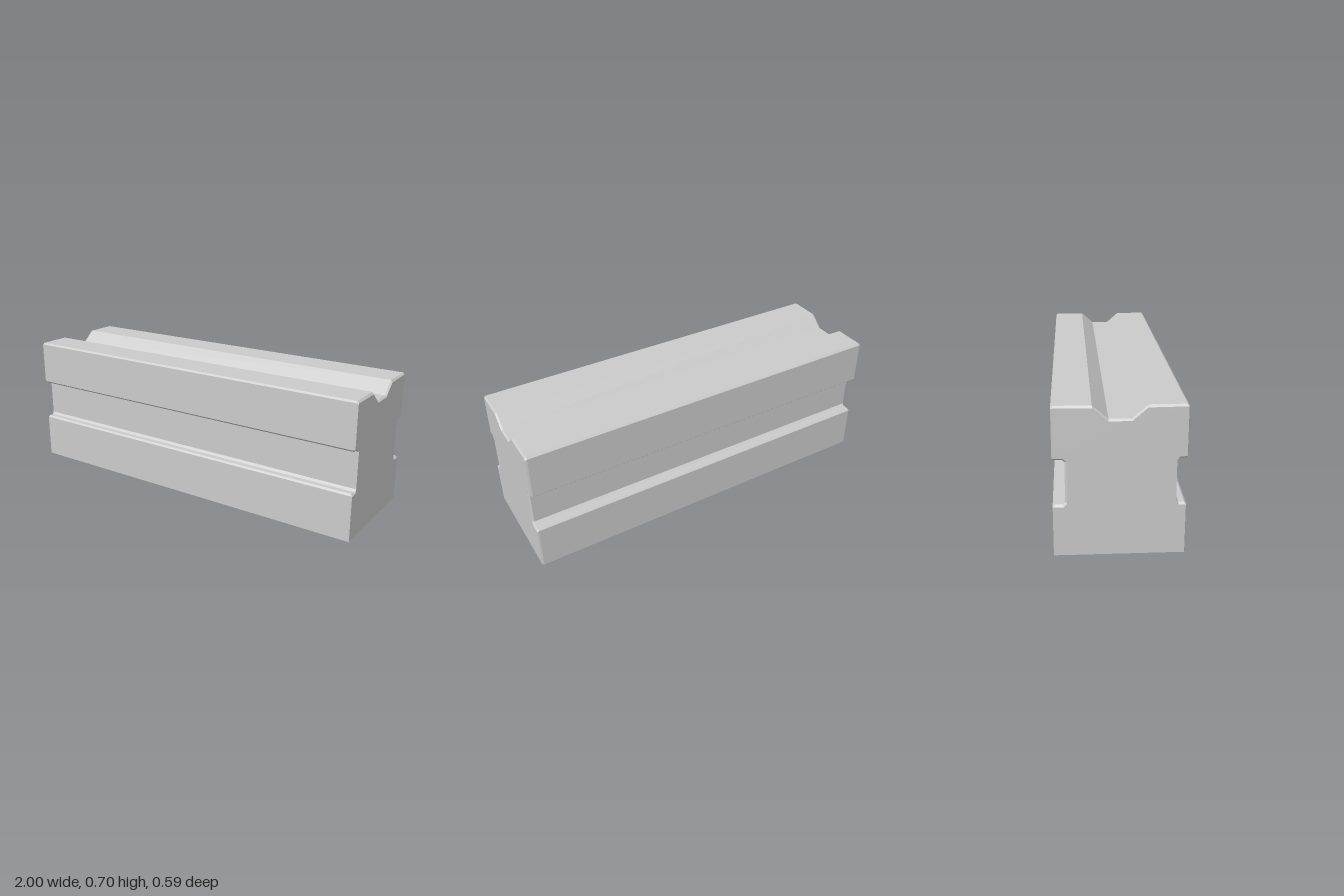
import * as THREE from 'three';

// Outline from the front foot over the top to the back foot:
// [z, y, z shift, y shift], the shifts giving the smaller outline of the end faces
const outline = [
  [0.294, 0, -0.003, 0],
  [0.294, 0.237, -0.003, -0.003],
  [0.285, 0.246, 0, -0.01],
  [0.258, 0.246, 0, -0.01],
  [0.247, 0.257, 0, 0],
  [0.247, 0.446, 0, 0],
  [0.258, 0.456, 0, 0.009],
  [0.285, 0.456, 0, 0.009],
  [0.294, 0.465, -0.003, 0.003],
  [0.294, 0.691, -0.003, -0.004],
  [0.285, 0.7, 0, -0.009],
  [0.12, 0.7, -0.002, -0.011],
  [0.05, 0.639, 0, -0.009],
  [-0.05, 0.639, 0, -0.009],
  [-0.12, 0.7, 0.002, -0.011],
  [-0.285, 0.7, 0, -0.009],
  [-0.294, 0.691, 0.003, -0.004],
  [-0.294, 0.465, 0.003, 0.003],
  [-0.285, 0.456, 0, 0.009],
  [-0.25, 0.456, 0.005, 0.009],
  [-0.239, 0.446, 0.009, 0.004],
  [-0.239, 0.257, 0.009, -0.004],
  [-0.25, 0.246, 0.005, -0.01],
  [-0.285, 0.246, 0, -0.01],
  [-0.294, 0.237, 0.003, -0.003],
  [-0.294, 0, 0.003, 0],
];

const section = (inset) => outline.map(([z, y, dz, dy]) => [z + dz * inset, y + dy * inset]);

// Long surfaces and bevels, lofted between cross-sections
function loft(rings) {
  const positions = [];
  for (let r = 0; r < rings.length - 1; r++) {
    const [a, b] = [rings[r], rings[r + 1]];
    const n = a.points.length;
    for (let i = 0; i < n; i++) {
      const j = (i + 1) % n;
      const corner = (ring, k) => [ring.x, ring.points[k][1], ring.points[k][0]];
      const [p, q, s, t] = [corner(a, i), corner(b, i), corner(b, j), corner(a, j)];
      positions.push(...p, ...q, ...s, ...p, ...s, ...t);
    }
  }
  const geometry = new THREE.BufferGeometry();
  geometry.setAttribute('position', new THREE.Float32BufferAttribute(positions, 3));
  geometry.computeVertexNormals();
  return geometry;
}

// Flat end face, side = 1 or -1 along x
function endCap(side) {
  const shape = new THREE.Shape(section(1).map(([z, y]) => new THREE.Vector2(-side * z, y)));
  return new THREE.ShapeGeometry(shape).rotateY((side * Math.PI) / 2).translate(side, 0, 0);
}

export function createModel() {
  const model = new THREE.Group();
  model.name = 'groovedBlock';
  const material = new THREE.MeshStandardMaterial({ color: 0xcccccc, flatShading: true });
  const add = (name, geometry) => {
    const mesh = new THREE.Mesh(geometry, material);
    mesh.name = name;
    model.add(mesh);
  };

  add('blockBody', loft([
    { x: -1, points: section(1) },
    { x: -0.991, points: section(0) },
    { x: 0.991, points: section(0) },
    { x: 1, points: section(1) },
  ]));
  add('leftEnd', endCap(1));
  add('rightEnd', endCap(-1));
  return model;
}
